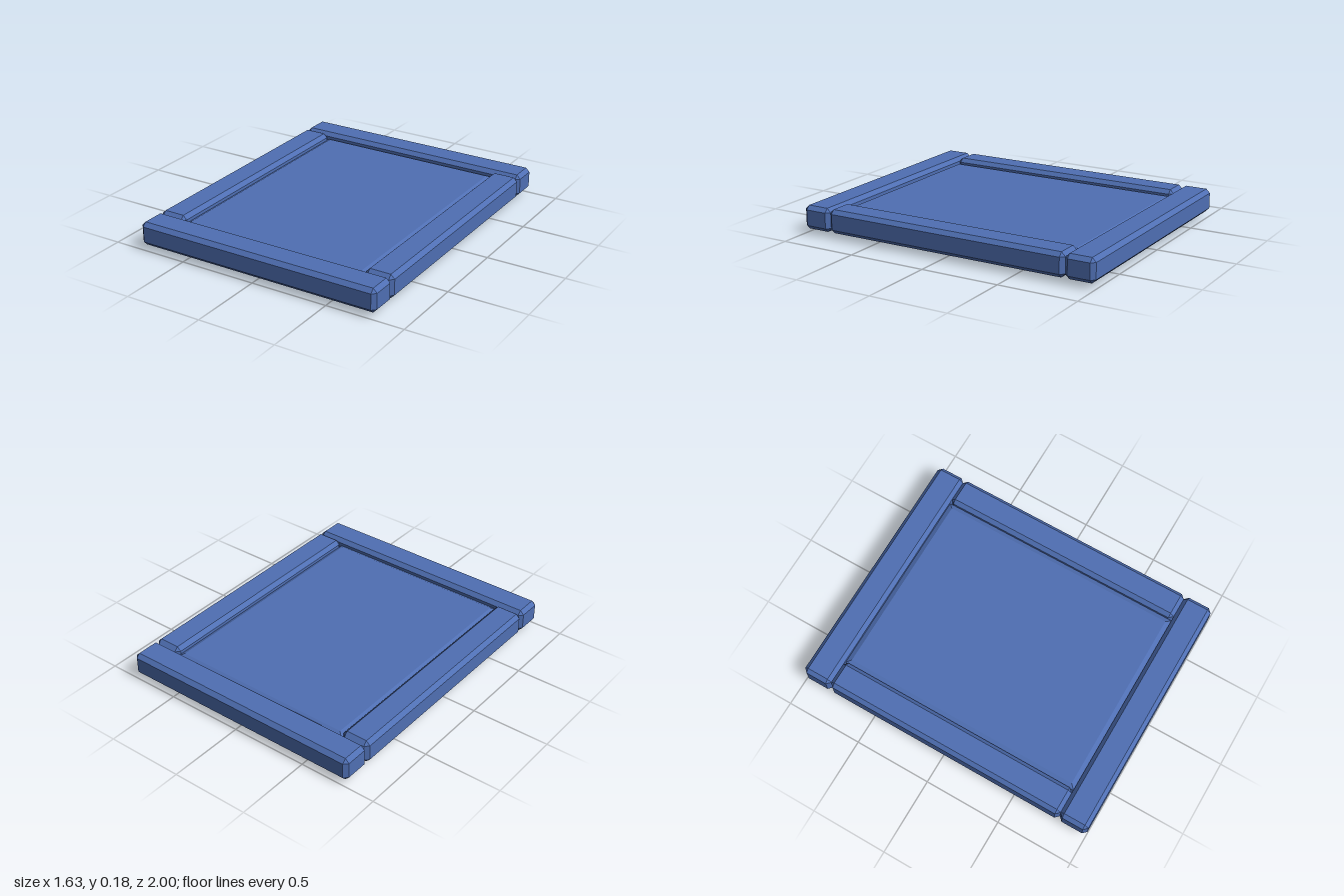
import * as THREE from 'three';
import { ConvexGeometry } from 'three/addons/geometries/ConvexGeometry.js';

const blue = new THREE.MeshStandardMaterial({ color: 0x4f6fb3 });
blue.name = 'blue';
const grey = new THREE.MeshStandardMaterial({ color: 0x7b7c7d });
grey.name = 'grey';

// Box with every edge and corner cut flat by c
function chamferBox(w, h, d, c) {
  const points = [];
  for (const sx of [-1, 1]) for (const sy of [-1, 1]) for (const sz of [-1, 1]) {
    const x = w / 2, y = h / 2, z = d / 2;
    points.push(
      new THREE.Vector3(sx * x, sy * (y - c), sz * (z - c)),
      new THREE.Vector3(sx * (x - c), sy * y, sz * (z - c)),
      new THREE.Vector3(sx * (x - c), sy * (y - c), sz * z)
    );
  }
  return new ConvexGeometry(points);
}

// Slab whose top face is drawn in by inset, sloping down by drop
function panelSlab(w, h, d, inset, drop) {
  const points = [];
  for (const sx of [-1, 1]) for (const sz of [-1, 1]) {
    const x = sx * w / 2, z = sz * d / 2;
    points.push(
      new THREE.Vector3(x, -h / 2, z),
      new THREE.Vector3(x, h / 2 - drop, z),
      new THREE.Vector3(x - sx * inset, h / 2, z - sz * inset)
    );
  }
  return new ConvexGeometry(points);
}

export function createModel() {
  const model = new THREE.Group();
  model.name = 'pictureFrame';
  const add = (name, geometry, material, x, y, z) => {
    const mesh = new THREE.Mesh(geometry, material);
    mesh.name = name;
    mesh.position.set(x, y, z);
    model.add(mesh);
  };

  // Four chamfered frame bars
  const endBar = chamferBox(1.63, 0.15, 0.19, 0.025);
  const sideBar = chamferBox(0.185, 0.15, 1.62, 0.025);
  add('frontBar', endBar, blue, 0, 0.105, 0.905);
  add('backBar', endBar, blue, 0, 0.105, -0.905);
  add('leftBar', sideBar, blue, 0.7225, 0.105, 0);
  add('rightBar', sideBar, blue, -0.7225, 0.105, 0);

  // Picture panel with a grey backing
  add('picturePanel', panelSlab(1.26, 0.118, 1.62, 0.03, 0.015), blue, 0, 0.091, 0);
  add('backing', new THREE.BoxGeometry(1.26, 0.004, 1.62), grey, 0, 0.03, 0);

  // Folded stand and its hinge underneath
  add('stand', chamferBox(0.4, 0.03, 1.18, 0.01), blue, 0, 0.015, 0.14);
  add('hinge', new THREE.BoxGeometry(0.17, 0.026, 0.08), blue, 0, 0.016, -0.49);

  return model;
}
